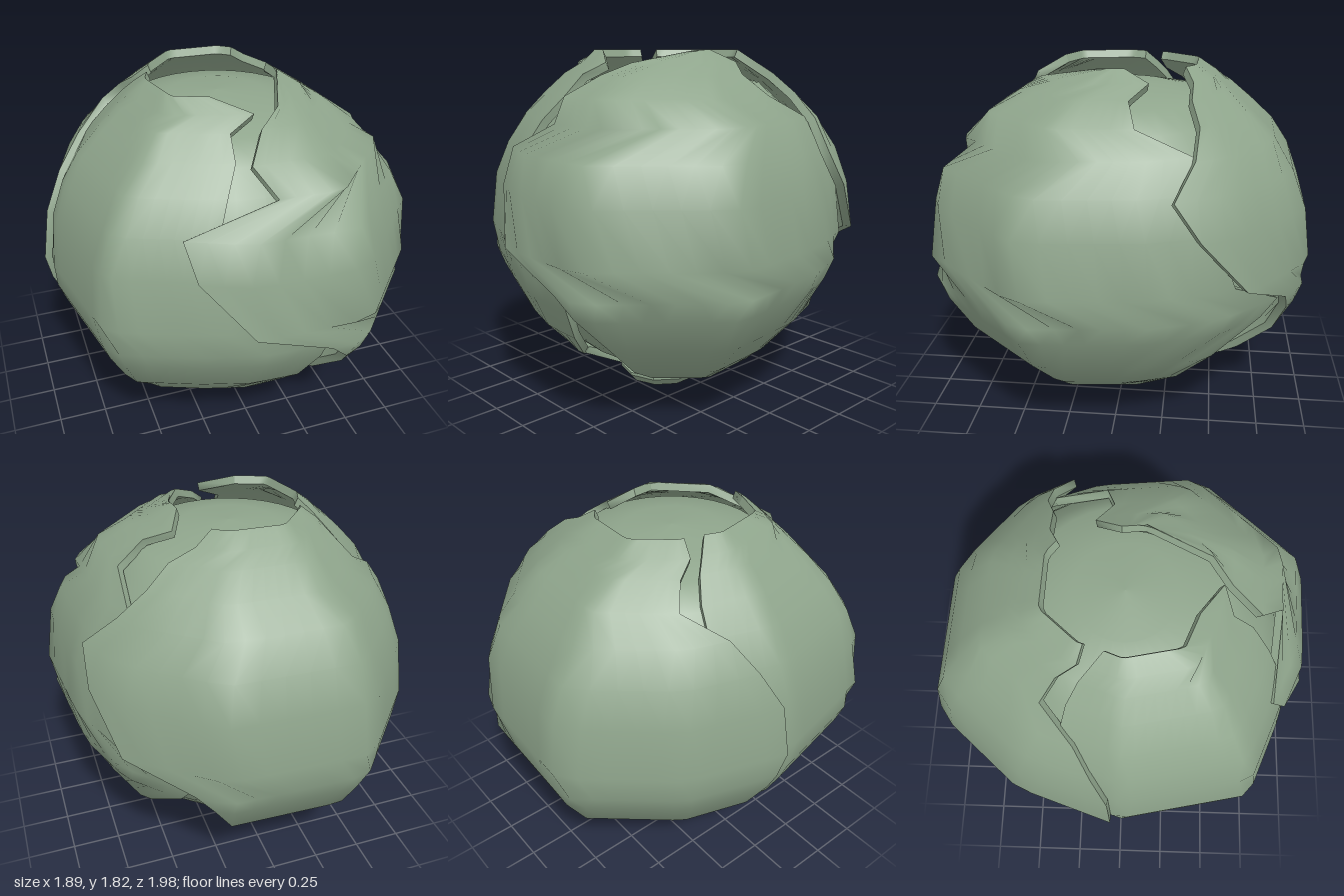
import * as THREE from 'three';
import { mergeGeometries } from 'three/addons/utils/BufferGeometryUtils.js';

const material = new THREE.MeshStandardMaterial({ color: 0x8fa58c, side: THREE.DoubleSide });
const rad = Math.PI / 180;
const CENTRE = new THREE.Vector3(0, 0.93, 0);

// Shared vertical profile: height and relative radius, from top to bottom
const LEVELS = [
  [1.82, 0.38], [1.76, 0.47], [1.7, 0.55], [1.6, 0.67], [1.48, 0.79], [1.33, 0.89], [1.15, 0.96],
  [0.88, 1], [0.73, 0.98], [0.63, 0.94], [0.45, 0.84], [0.27, 0.66], [0.2, 0.57], [0.07, 0.23],
];

// Shells: girth corners [angle, radius]; start and end angle of the edge at each level
const SHELLS = {
  frontShell: {
    top: 0.8,
    girth: [[-32, 0.95], [-8, 0.98], [24, 1.08], [66, 1.04], [102, 0.91], [125, 0.93], [152, 0.97]],
    start: [72, 22, 5, -5, 2, -29, -24, -8, 15, 21, 29, 32, 38, 50],
    end: [95, 114, 98, 100, 122, 122, 124, 130, 150, 146, 130, 122, 104, 118],
  },
  backShell: {
    top: 1.0,
    girth: [[107, 1.0], [129, 1.0], [161, 1.03], [201, 1.07], [235, 0.95], [268, 0.95]],
    start: [149, 142, 131, 127, 120, 110, 117, 131, 152, 157, 162, 165, 168, 178],
    end: [240, 242, 235, 234, 252, 260, 266, 267, 265, 264, 261, 256, 252, 250],
  },
  sideShell: {
    top: 1.05,
    girth: [[238, 0.88], [270, 0.92], [311, 1.03], [335, 0.92], [355, 0.93], [376, 0.98]],
    start: [256, 250, 246, 244, 245, 250, 250, 252, 252, 252, 254, 258, 262, 264],
    end: [336, 363, 348, 349, 345, 342, 346, 356, 375, 375, 372, 360, 345, 358],
  },
};

// Horizontal radius along the straight chords between girth corners
function girthRadius(girth, angle) {
  let k = 0;
  while (k < girth.length - 2 && angle > girth[k + 1][0]) k++;
  const [a0, r0] = girth[k], [a1, r1] = girth[k + 1];
  const t = Math.min(1, Math.max(0, (angle - a0) / (a1 - a0))) * (a1 - a0) * rad;
  const full = (a1 - a0) * rad;
  return r0 * r1 * Math.sin(full) / (r1 * Math.sin(full - t) + r0 * Math.sin(t));
}

// Smooth grid surface from a point function
function sheet(point, nu, nv) {
  const positions = [], index = [];
  for (let j = 0; j <= nv; j++) {
    for (let i = 0; i <= nu; i++) {
      positions.push(...point(i, j).toArray());
      if (i < nu && j < nv) {
        const a = j * (nu + 1) + i, c = a + nu + 1;
        index.push(a, c, a + 1, a + 1, c, c + 1);
      }
    }
  }
  const geometry = new THREE.BufferGeometry();
  geometry.setAttribute('position', new THREE.Float32BufferAttribute(positions, 3));
  geometry.setIndex(index);
  geometry.computeVertexNormals();
  return geometry;
}

// Thick curved shell: outer skin, inner skin and four rims
function shellGeometry({ girth, start, end, top }) {
  const nu = 20, nv = LEVELS.length - 1;
  const outer = (i, j) => {
    const [y, profile] = LEVELS[j];
    const angle = start[j] + (end[j] - start[j]) * i / nu;
    const narrowing = j < 3 ? 1 + (top - 1) * (3 - j) / 3 : 1;
    const r = profile * girthRadius(girth, angle) * narrowing;
    return new THREE.Vector3(r * Math.sin(angle * rad), y, r * Math.cos(angle * rad));
  };
  const inner = (i, j) => outer(i, j).lerp(CENTRE, 0.045);
  return mergeGeometries([
    sheet(outer, nu, nv),
    sheet((i, j) => inner(nu - i, j), nu, nv),
    sheet((i, j) => (j ? outer : inner)(i, 0), nu, 1),
    sheet((i, j) => (j ? inner : outer)(i, nv), nu, 1),
    sheet((i, j) => (i ? outer : inner)(0, j), 1, nv),
    sheet((i, j) => (i ? inner : outer)(nu, j), 1, nv),
  ]);
}

function lathe(points, segments) {
  return new THREE.LatheGeometry(points.map(([r, y]) => new THREE.Vector2(r, y)), segments);
}

export function createModel() {
  const model = new THREE.Group();
  const add = (name, geometry, mat = material) => {
    const mesh = new THREE.Mesh(geometry, mat);
    mesh.name = name;
    model.add(mesh);
    return mesh;
  };

  // Three overlapping cracked shells
  for (const [name, spec] of Object.entries(SHELLS)) add(name, shellGeometry(spec));

  // Inner ball seen through the gaps and the open top
  const corePoints = LEVELS.slice(2).reverse()
    .map(([y, r]) => [r * 0.86, 0.93 + (y - 0.93) * 0.94]);
  add('innerBall', lathe([[0, 0.11], ...corePoints, [0.25, 1.7], [0, 1.72]], 32));

  // Faceted foot with a narrower collar
  const flat = material.clone();
  flat.flatShading = true;
  const foot = add('foot', lathe(
    [[0, 0], [0.195, 0], [0.235, 0.045], [0.235, 0.06], [0.205, 0.075], [0.205, 0.17], [0, 0.17]], 10), flat);
  foot.position.set(-0.015, 0, 0.05);

  return model;
}
